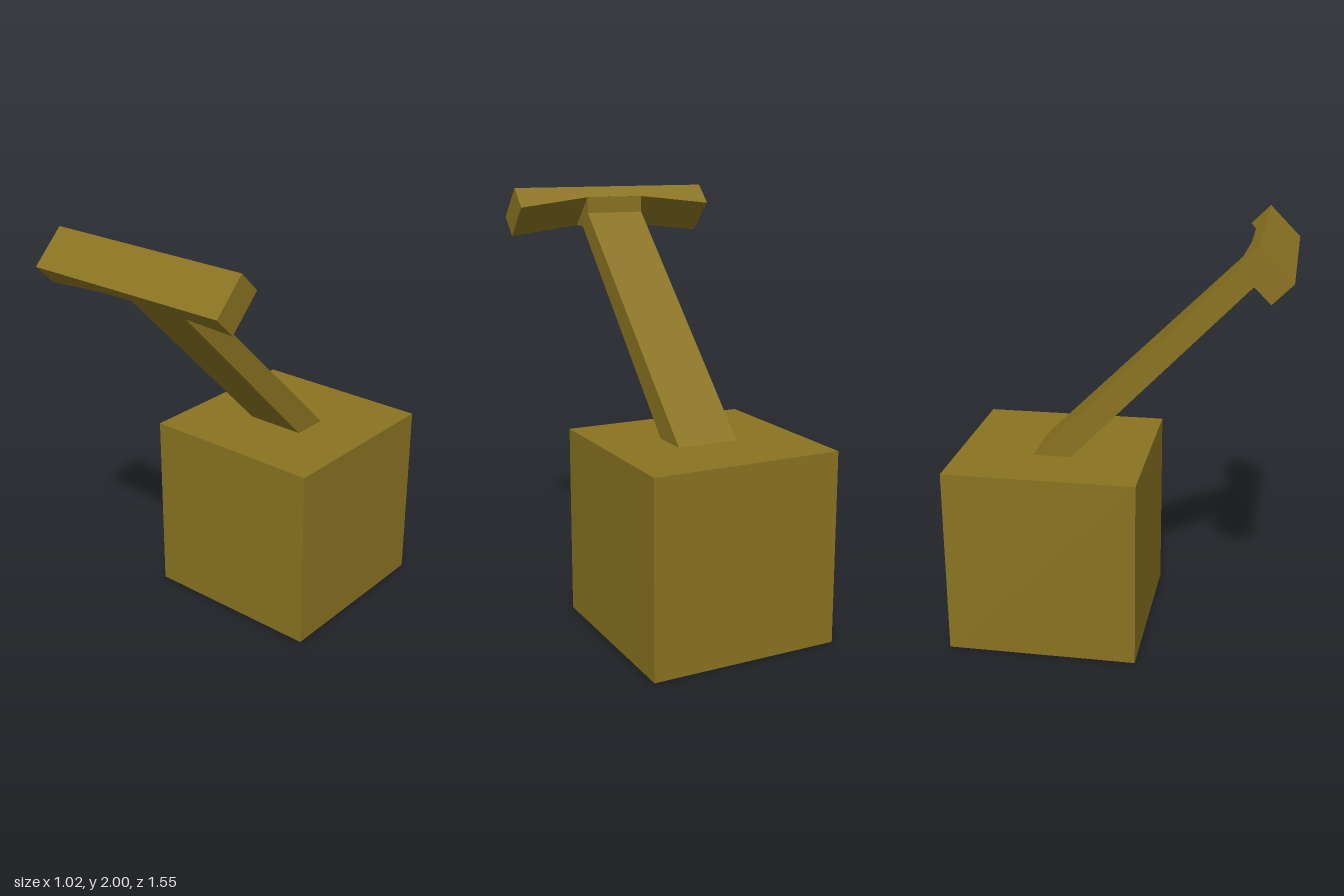
import * as THREE from 'three';

const material = new THREE.MeshStandardMaterial({ color: 0x8a7320, flatShading: true });

// Solid made by extruding an outline, centred or starting at zero depth
function extrude(points, depth) {
  const shape = new THREE.Shape(points.map(([x, y]) => new THREE.Vector2(x, y)));
  return new THREE.ExtrudeGeometry(shape, { depth, bevelEnabled: false });
}

function addPart(group, name, geometry) {
  const mesh = new THREE.Mesh(geometry, material);
  mesh.name = name;
  group.add(mesh);
  return mesh;
}

export function createModel() {
  const group = new THREE.Group();
  group.name = 'leverSwitch';

  // Cube base, set towards the back
  addPart(group, 'base', new THREE.BoxGeometry(0.9, 0.9, 0.9)).position.set(0, 0.45, -0.325);

  // Slightly tapering lever, outlined in (z, y), flaring where it meets the grip
  const width = 0.294;
  const lever = extrude([
    [-0.41, 0.9], [-0.23, 0.9], [0.648, 1.803],
    [0.725, 1.805], [0.58, 1.95], [0.578, 1.872],
  ], width);
  lever.translate(0, 0, -width / 2).rotateY(-Math.PI / 2);
  addPart(group, 'lever', lever);

  // Crossbar grip with wings that thicken outwards, tilted 45 degrees forward
  const grip = extrude([
    [-0.51, 0], [-0.147, 0.057], [0.147, 0.057],
    [0.51, 0], [0.51, 0.127], [-0.51, 0.127],
  ], 0.207);
  grip.rotateX(Math.PI / 4).translate(0, 1.91, 0.54);
  addPart(group, 'grip', grip);

  return group;
}
